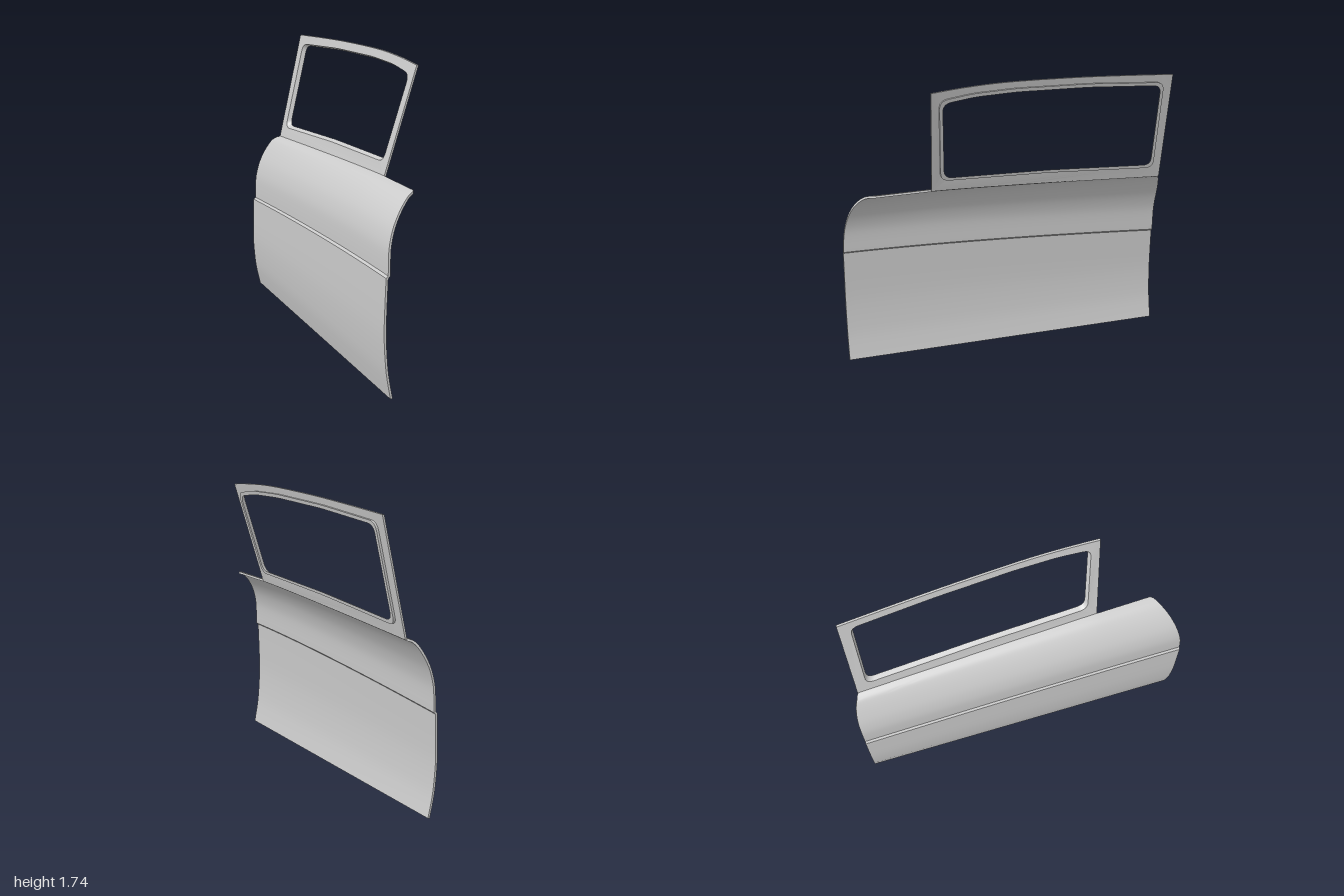
import * as THREE from 'three';
import { toCreasedNormals } from 'three/addons/utils/BufferGeometryUtils.js';

const material = new THREE.MeshStandardMaterial({ color: 0xcccccc });
const V2 = (x, y) => new THREE.Vector2(x, y);

// Skin through a row of equal closed cross-sections; open rows get end caps.
function loft(sections, ring) {
  const L = sections[0].length, N = sections.length, index = [];
  const quad = (a, b, c, d) => index.push(a, b, c, a, c, d);
  for (let j = 0; j < (ring ? N : N - 1); j++) {
    const p = j * L, q = ((j + 1) % N) * L;
    for (let k = 0; k < L; k++) {
      const n = (k + 1) % L;
      quad(p + k, q + k, q + n, p + n);
    }
  }
  if (!ring) {
    const e = (N - 1) * L;
    for (let k = 0; k < L / 2 - 1; k++) {
      quad(k, k + 1, L - 2 - k, L - 1 - k);
      quad(e + L - 1 - k, e + L - 2 - k, e + k + 1, e + k);
    }
  }
  const geo = new THREE.BufferGeometry();
  geo.setAttribute('position', new THREE.Float32BufferAttribute(sections.flat(2), 3));
  geo.setIndex(index);
  return toCreasedNormals(geo, 0.5);
}

// Heights of the crease and of the waistline along the door.
const creaseY = z => 0.69 - 0.09 * Math.pow((1 - z) / 2, 1.6);
const waistY = z => 1.1 - 0.07 * Math.pow(Math.max(0, 0.5 - z) / 1.45, 1.2);

// Profiles as (x, height fraction): below and above the crease.
const sample = (pts, n) => new THREE.SplineCurve(pts.map(p => V2(...p))).getPoints(n);
const lower = sample([[-0.163, 0], [-0.18, 0.13], [-0.194, 0.27], [-0.205, 0.52], [-0.203, 0.75], [-0.197, 1]], 12);
const upper = sample([[-0.185, 0.03], [-0.183, 0.2], [-0.176, 0.38], [-0.155, 0.56], [-0.127, 0.7],
  [-0.09, 0.83], [-0.05, 0.93], [-0.02, 0.975], [0.015, 1]], 24);

// Door skin: a thin sheet bulging outwards, stepped at the crease.
function doorSkin() {
  const sections = [], columns = 32, thickness = 0.013;
  for (let j = 0; j <= columns; j++) {
    const t = j / columns;
    const outer = lower.map(p => {
      const z = -1 + 2 * t;
      return [p.x, p.y * creaseY(z), z];
    });
    for (const p of upper) {
      const s = Math.min(p.y, 1), r = Math.max(0, (s - 0.55) / 0.45);
      const front = 1 - 0.16 * (1 - Math.sqrt(1 - s * s));
      const rear = -1 + 0.055 * (1 - Math.sqrt(1 - r * r));
      const z = rear + (front - rear) * t;
      const y = creaseY(z) + s * (waistY(z) - creaseY(z));
      outer.push([p.x + Math.pow(s, 6) * (-0.035 + 0.058 * t), y, z]);
    }
    const inner = outer.map((p, i) => {
      const a = outer[Math.max(0, i - 1)], b = outer[Math.min(outer.length - 1, i + 1)];
      const dx = b[0] - a[0], dy = b[1] - a[1], l = Math.hypot(dx, dy);
      return [p[0] + thickness * dy / l, Math.max(0, p[1] - thickness * dx / l), p[2]];
    });
    sections.push([...outer, ...inner.reverse()]);
  }
  return loft(sections, false);
}

// Window frame lies on a leaning, slightly twisted surface.
function onFrame(z, y, w) {
  const k = (z + 0.95) / 1.46;
  return [-0.02 + 0.05 * k + (0.225 + 0.055 * k) * (y - waistY(z)) + w, y, z];
}

// Corners given as (z, y); returns a contour in (-z, y) with rounded corners.
function rounded(corners, radius) {
  const pts = corners.map(([z, y]) => V2(-z, y)), n = pts.length;
  return pts.flatMap((p, i) => {
    const toward = q => p.clone().add(q.clone().sub(p).setLength(radius));
    return new THREE.QuadraticBezierCurve(toward(pts[(i + n - 1) % n]), p, toward(pts[(i + 1) % n])).getPoints(6);
  });
}

const opening = rounded([[0.455, 1.166], [-0.2, 1.144], [-0.885, 1.1], [-0.875, 1.645],
  [-0.4, 1.678], [0.05, 1.69], [0.3, 1.682], [0.49, 1.655]], 0.05);

function windowFrame() {
  const outline = [];
  for (let i = 0; i <= 16; i++) {
    const z = 0.51 - 1.46 * i / 16;
    outline.push(V2(-z, waistY(z) - 0.008));
  }
  const top = sample([[0.94, 1.695], [0.65, 1.713], [0.3, 1.73], [-0.1, 1.738], [-0.35, 1.728], [-0.545, 1.71]], 16);
  const shape = new THREE.Shape([...outline, ...top]);
  shape.holes.push(new THREE.Path(opening));
  const geo = new THREE.ExtrudeGeometry(shape, { depth: 0.012, bevelEnabled: false });
  geo.rotateY(Math.PI / 2);
  const pos = geo.attributes.position;
  for (let i = 0; i < pos.count; i++) {
    pos.setXYZ(i, ...onFrame(pos.getZ(i), pos.getY(i), pos.getX(i)));
  }
  return toCreasedNormals(geo, 0.5);
}

// Raised lip round the window opening on the inner side.
function windowLip() {
  const cz = -0.2, cy = 1.4;
  const section = [[0.008, 0.004], [0.008, 0.026], [-0.012, 0.026], [0, 0.001]];
  return loft(opening.map(p => section.map(([grow, w]) =>
    onFrame(cz + (-p.x - cz) * (1 + grow / 0.67), cy + (p.y - cy) * (1 + grow / 0.265), w))), true);
}

export function createModel() {
  const door = new THREE.Group();
  door.name = 'carDoor';
  const add = (name, geometry) => {
    const mesh = new THREE.Mesh(geometry, material);
    mesh.name = name;
    door.add(mesh);
  };
  add('doorSkin', doorSkin());
  add('windowFrame', windowFrame());
  add('windowLip', windowLip());
  return door;
}
